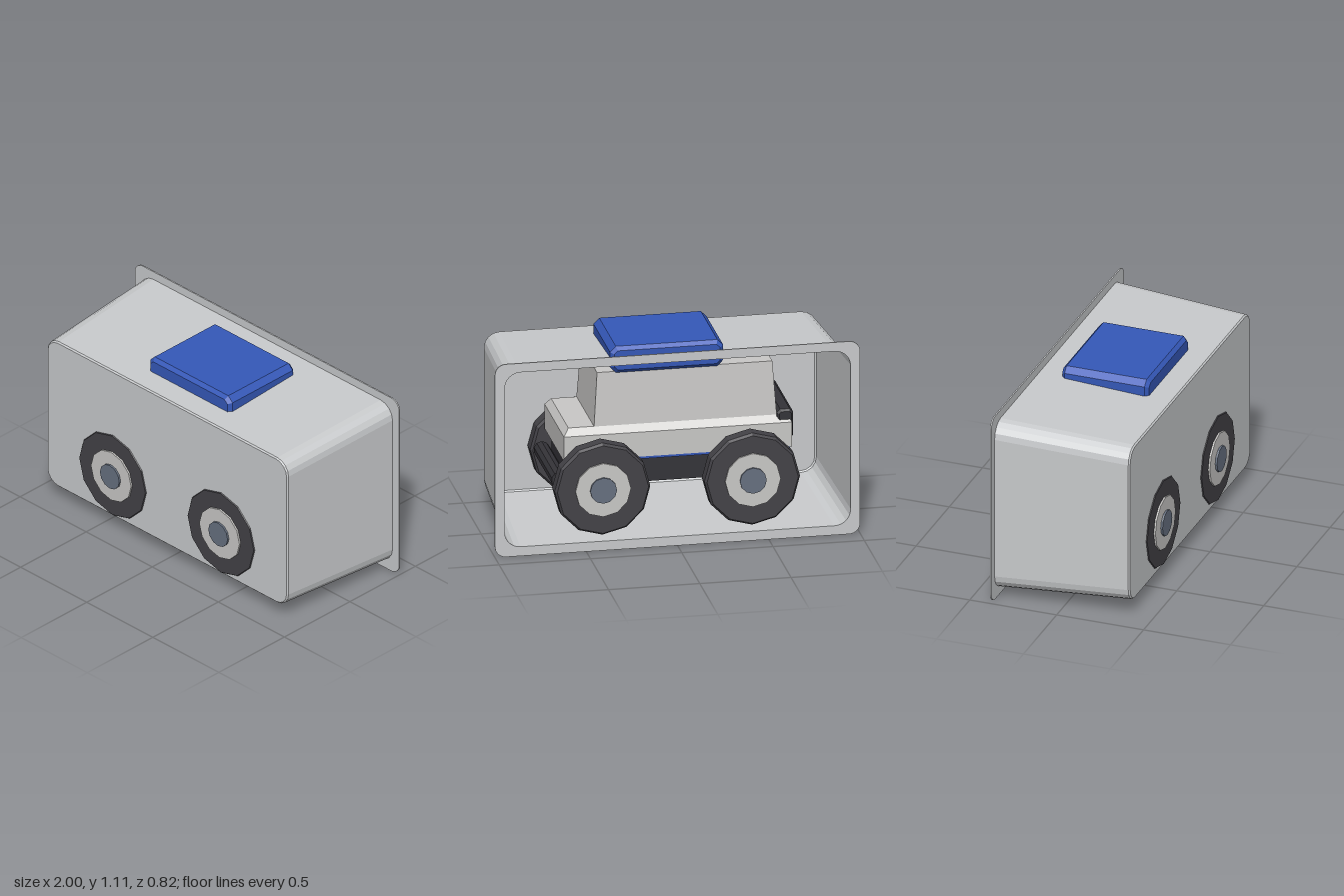
import * as THREE from 'three';

const mat = (name, color, extra = {}) => {
  const m = new THREE.MeshStandardMaterial({ color, flatShading: true, ...extra });
  m.name = name;
  return m;
};

// Rounded rectangle path, half width hw, from y0 to y1
function roundedRect(path, hw, y0, y1, r) {
  path.moveTo(hw, y0 + r);
  path.lineTo(hw, y1 - r);
  path.absarc(hw - r, y1 - r, r, 0, Math.PI / 2);
  path.lineTo(-hw + r, y1);
  path.absarc(-hw + r, y1 - r, r, Math.PI / 2, Math.PI);
  path.lineTo(-hw, y0 + r);
  path.absarc(-hw + r, y0 + r, r, Math.PI, Math.PI * 1.5);
  path.lineTo(hw - r, y0);
  path.absarc(hw - r, y0 + r, r, Math.PI * 1.5, Math.PI * 2);
  return path;
}

// Loop of points for one cross-section of the tray
function ring(hw, y0, y1, r, z, seg = 4) {
  const pts = [];
  const centres = [[hw - r, y1 - r], [-hw + r, y1 - r], [-hw + r, y0 + r], [hw - r, y0 + r]];
  centres.forEach(([cx, cy], i) => {
    for (let k = 0; k <= seg; k++) {
      const a = (i + k / seg) * Math.PI / 2;
      pts.push([cx + r * Math.cos(a), cy + r * Math.sin(a), z]);
    }
  });
  return pts;
}

// Skin neighbouring loops, then close the last one
function loft(rings) {
  const n = rings[0].length, pos = rings.flat(2), index = [];
  for (let j = 0; j < rings.length - 1; j++) {
    for (let i = 0; i < n; i++) {
      const a = j * n + i, b = j * n + (i + 1) % n;
      index.push(a, b, b + n, a, b + n, a + n);
    }
  }
  const last = (rings.length - 1) * n;
  for (let i = 1; i < n - 1; i++) index.push(last, last + i, last + i + 1);
  const g = new THREE.BufferGeometry();
  g.setAttribute('position', new THREE.Float32BufferAttribute(pos, 3));
  g.setIndex(index);
  const flat = g.toNonIndexed();
  flat.computeVertexNormals();
  return flat;
}

// Box with bevelled edges between two corners
function bevelBox(x0, x1, y0, y1, hz, b) {
  const s = new THREE.Shape();
  const c = b;
  s.moveTo(x0 + 2 * c, y0 + c);
  s.lineTo(x1 - 2 * c, y0 + c);
  s.lineTo(x1 - c, y0 + 2 * c);
  s.lineTo(x1 - c, y1 - 2 * c);
  s.lineTo(x1 - 2 * c, y1 - c);
  s.lineTo(x0 + 2 * c, y1 - c);
  s.lineTo(x0 + c, y1 - 2 * c);
  s.lineTo(x0 + c, y0 + 2 * c);
  s.closePath();
  const g = new THREE.ExtrudeGeometry(s, {
    depth: 2 * (hz - b), bevelEnabled: true, bevelThickness: b, bevelSize: b, bevelSegments: 1,
  });
  return g.translate(0, 0, -(hz - b));
}

// Box whose top is narrower than its base
function taperedBox(x0, x1, y0, y1, hz, inset) {
  const g = new THREE.BoxGeometry(x1 - x0, y1 - y0, 2 * hz);
  const p = g.attributes.position;
  for (let i = 0; i < p.count; i++) {
    if (p.getY(i) > 0) {
      p.setX(i, p.getX(i) - Math.sign(p.getX(i)) * inset);
      p.setZ(i, p.getZ(i) - Math.sign(p.getZ(i)) * inset);
    }
  }
  g.computeVertexNormals();
  return g.translate((x0 + x1) / 2, (y0 + y1) / 2, 0);
}

export function createModel() {
  const model = new THREE.Group();
  model.name = 'toyCarInTray';
  const shell = mat('trayGrey', 0xc8cacc, { side: THREE.DoubleSide });
  const body = mat('bodyGrey', 0xc9c8c6);
  const blue = mat('roofBlue', 0x3558b8);
  const rubber = mat('tyreBlack', 0x434247);
  const trim = mat('trimBlack', 0x343338);
  const slate = mat('hubSlate', 0x667080);

  const add = (name, geometry, material, parent = model) => {
    const mesh = new THREE.Mesh(geometry, material);
    mesh.name = name;
    parent.add(mesh);
    return mesh;
  };

  // Tray, open at the back, with a thin flange round the opening
  add('tray', loft([
    ring(0.95, 0.05, 1.052, 0.09, -0.38),
    ring(0.911, 0.09, 1.01, 0.085, 0.378),
    ring(0.903, 0.098, 1.002, 0.077, 0.386),
  ]), shell);
  const flange = roundedRect(new THREE.Shape(), 1, 0, 1.1, 0.06);
  flange.holes.push(roundedRect(new THREE.Path(), 0.947, 0.053, 1.049, 0.087));
  add('flange', new THREE.ExtrudeGeometry(flange, { depth: 0.008, bevelEnabled: false, curveSegments: 5 })
    .translate(0, 0, -0.384), shell);

  // Car body
  const car = new THREE.Group();
  car.name = 'car';
  model.add(car);
  add('lowerBody', taperedBox(-0.65, 0.6, 0.48, 0.62, 0.27, 0), body, car);
  add('shoulder', taperedBox(-0.65, 0.6, 0.62, 0.66, 0.27, 0.03), body, car);
  add('cabin', taperedBox(-0.57, 0.43, 0.66, 0.96, 0.245, 0.02), body, car);
  add('roofBlock', bevelBox(-0.28, 0.34, 0.955, 1.105, 0.25, 0.02), blue, car);
  add('floorPlate', new THREE.BoxGeometry(1.23, 0.015, 0.53).translate(-0.025, 0.473, 0), blue, car);
  add('frontBumper', bevelBox(-0.66, -0.57, 0.52, 0.69, 0.26, 0.012), trim, car);
  add('chassis', new THREE.BoxGeometry(1.16, 0.16, 0.36).translate(0, 0.385, 0), trim, car);

  // Cross tubes and axles
  for (const s of [-1, 1]) {
    add('endTube', new THREE.CylinderGeometry(0.045, 0.045, 0.5, 10)
      .rotateX(Math.PI / 2).translate(s * 0.62, 0.37, 0), trim, car);
    add('axle', new THREE.CylinderGeometry(0.04, 0.04, 0.6, 10)
      .rotateX(Math.PI / 2).translate(s * 0.41, 0.35, 0), trim, car);
  }

  // Twelve-sided wheels with rim and hub discs
  const tyreProfile = [[0, -0.05], [0.25, -0.05], [0.262, -0.035], [0.262, 0.035], [0.25, 0.05], [0, 0.05]]
    .map(([r, y]) => new THREE.Vector2(r, y));
  const tyre = new THREE.LatheGeometry(tyreProfile, 12).rotateX(Math.PI / 2);
  const rim = new THREE.CylinderGeometry(0.152, 0.152, 0.01, 12).rotateX(Math.PI / 2).translate(0, 0, 0.055);
  const hub = new THREE.CylinderGeometry(0.073, 0.073, 0.02, 12).rotateX(Math.PI / 2).translate(0, 0, 0.061);
  for (const x of [-0.41, 0.41]) {
    for (const s of [-1, 1]) {
      const wheel = new THREE.Group();
      wheel.name = 'wheel';
      wheel.position.set(x, 0.35, s * 0.341);
      if (s < 0) wheel.rotation.y = Math.PI;
      add('tyre', tyre, rubber, wheel);
      add('rim', rim, body, wheel);
      add('hub', hub, slate, wheel);
      car.add(wheel);
    }
  }
  return model;
}
